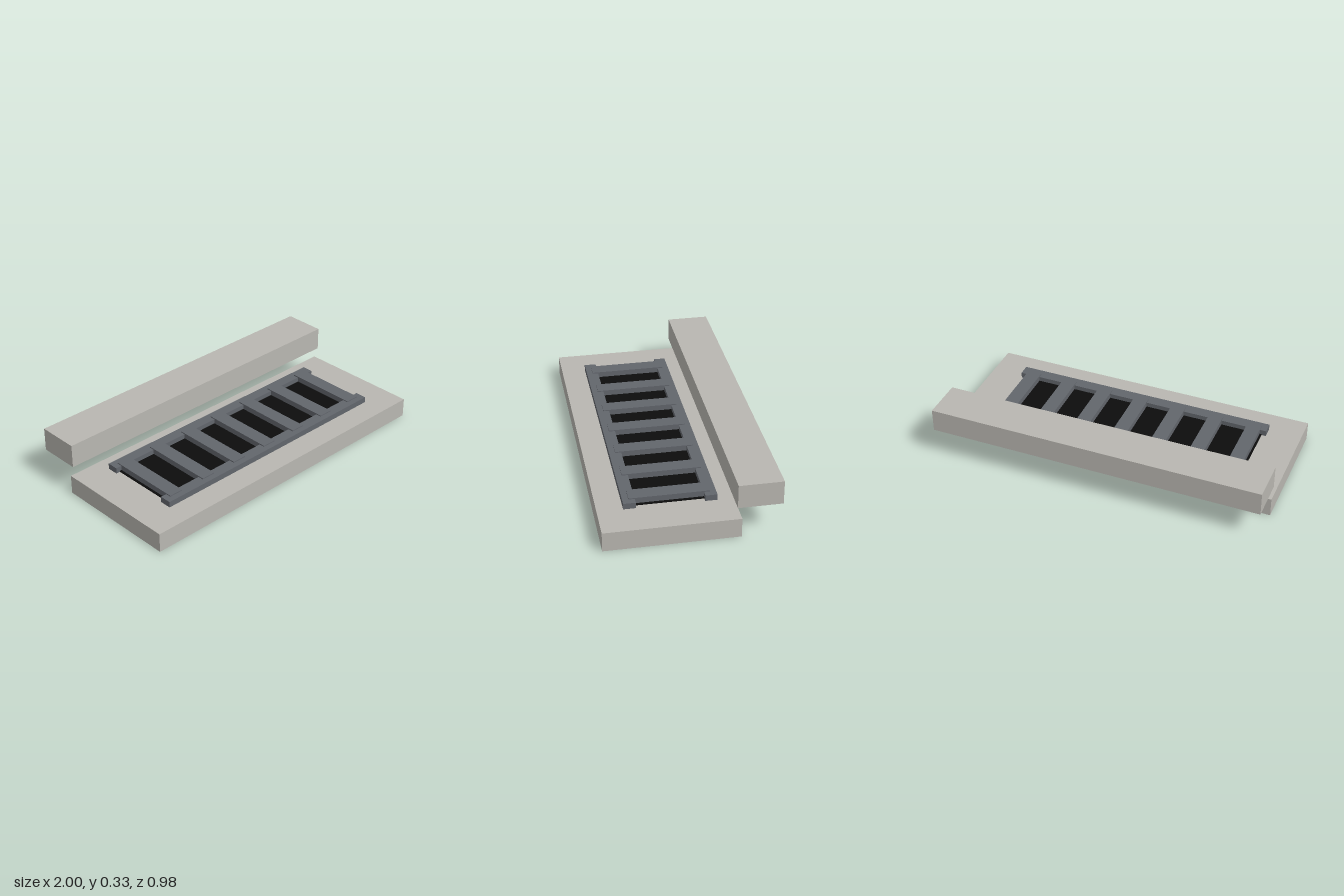
import * as THREE from 'three';

const concrete = new THREE.MeshStandardMaterial({ name: 'concrete', color: 0xb9b7b1 });
const iron = new THREE.MeshStandardMaterial({ name: 'iron', color: 0x62666c });
const dark = new THREE.MeshStandardMaterial({ name: 'dark opening', color: 0x0d0d0d });

// Box given by its minimum and maximum corners
function block(name, material, [x0, y0, z0], [x1, y1, z1]) {
  const mesh = new THREE.Mesh(new THREE.BoxGeometry(x1 - x0, y1 - y0, z1 - z0), material);
  mesh.position.set((x0 + x1) / 2, (y0 + y1) / 2, (z0 + z1) / 2);
  mesh.name = name;
  return mesh;
}

export function createModel() {
  const model = new THREE.Group();
  model.name = 'stormDrain';

  // Base slab and the raised kerb behind it
  model.add(block('slab', concrete, [-1, 0, -0.267], [1, 0.115, 0.49]));
  model.add(block('kerb', concrete, [-1, 0.187, -0.49], [1, 0.327, -0.24]));

  // Grate: dark opening, two long rails and seven cross bars
  const grate = new THREE.Group();
  grate.name = 'grate';
  grate.add(block('opening', dark, [-0.775, 0.114, -0.14], [0.775, 0.122, 0.31]));
  grate.add(block('backRail', iron, [-0.8, 0.113, -0.175], [0.8, 0.15, -0.107]));
  grate.add(block('frontRail', iron, [-0.8, 0.113, 0.275], [0.8, 0.15, 0.345]));
  for (let i = -3; i <= 3; i++) {
    const x = i * 0.24;
    grate.add(block('crossBar', iron, [x - 0.043, 0.12, -0.14], [x + 0.043, 0.156, 0.31]));
  }
  model.add(grate);
  return model;
}
